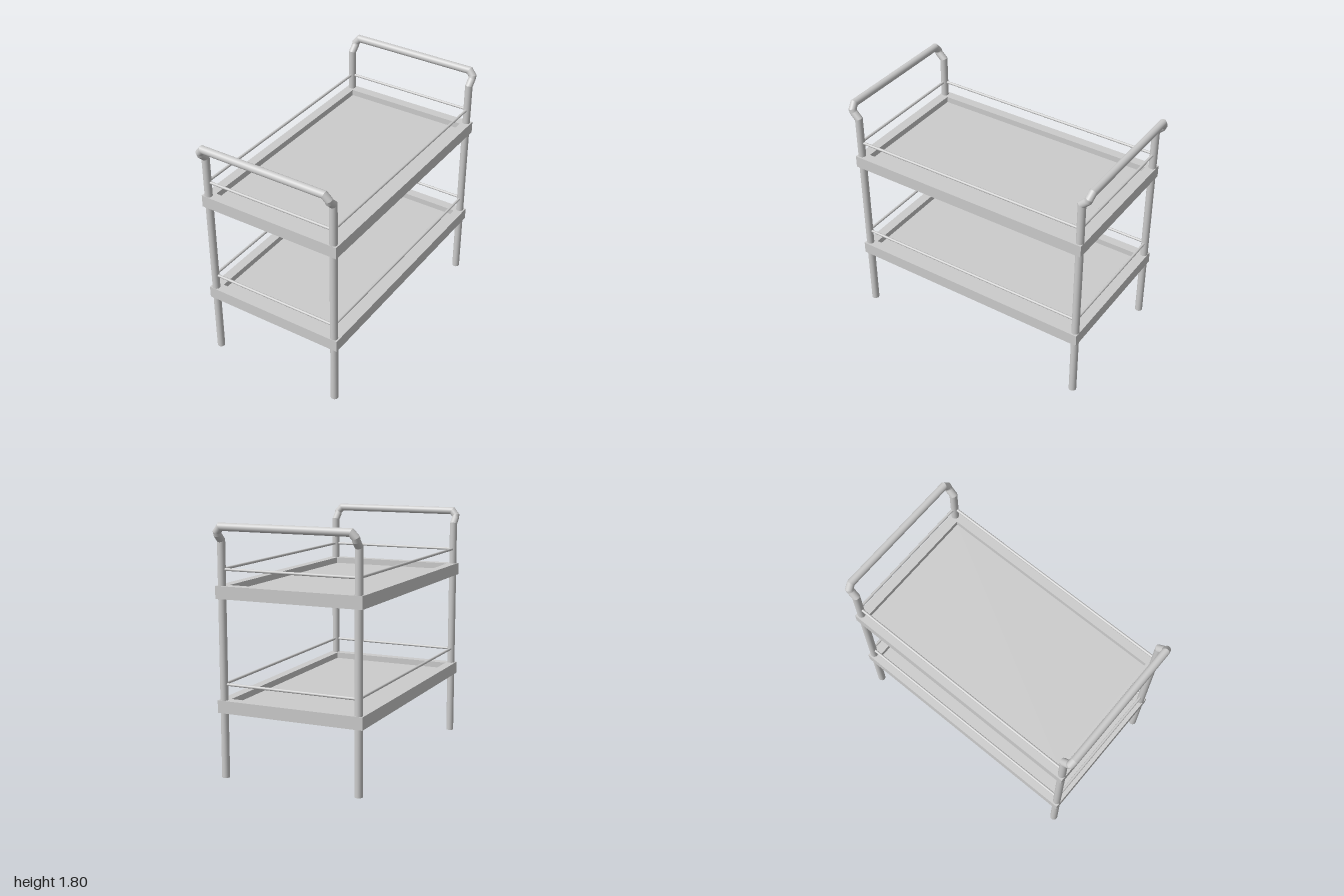
import * as THREE from 'three';

const material = new THREE.MeshStandardMaterial({ color: 0xcccccc });
const LEG_X = 0.512, LEG_Z = 0.914, TUBE_R = 0.028, RAIL_R = 0.01;

function addMesh(parent, name, geometry) {
  const mesh = new THREE.Mesh(geometry, material);
  mesh.name = name;
  parent.add(mesh);
  return mesh;
}

// Round tube along straight segments, with mitred joints and closed ends
function mitredTube(points, radius, sides = 24) {
  const pos = [], nor = [], idx = [];
  const dirs = points.slice(1).map((p, i) => p.clone().sub(points[i]).normalize());
  const u = new THREE.Vector3(1, 0, 0);
  const v = dirs[0].clone().cross(u);
  let ring = [];
  for (let k = 0; k <= sides; k++) {
    const a = (k / sides) * Math.PI * 2;
    ring.push(points[0].clone().addScaledVector(u, radius * Math.cos(a)).addScaledVector(v, radius * Math.sin(a)));
  }
  const pushRing = (verts, normalOf) => {
    const start = pos.length / 3;
    for (const p of verts) {
      pos.push(p.x, p.y, p.z);
      const n = normalOf(p);
      nor.push(n.x, n.y, n.z);
    }
    return start;
  };
  const cap = (verts, normal, flip) => {
    const s = pushRing(verts, () => normal);
    for (let k = 1; k < sides - 1; k++) idx.push(s, s + (flip ? k + 1 : k), s + (flip ? k : k + 1));
  };
  cap(ring, dirs[0].clone().negate(), true);
  dirs.forEach((d, i) => {
    const end = points[i + 1];
    const plane = d.clone().add(dirs[i + 1] ?? d).normalize();
    const next = ring.map((p) => p.clone().addScaledVector(d, end.clone().sub(p).dot(plane) / d.dot(plane)));
    const radial = (p) => {
      const r = p.clone().sub(end);
      return r.addScaledVector(d, -r.dot(d)).normalize();
    };
    const a = pushRing(ring, radial), b = pushRing(next, radial);
    for (let k = 0; k < sides; k++) {
      idx.push(a + k, a + k + 1, b + k, a + k + 1, b + k + 1, b + k);
    }
    ring = next;
  });
  cap(ring, dirs[dirs.length - 1], false);
  const g = new THREE.BufferGeometry();
  g.setAttribute('position', new THREE.Float32BufferAttribute(pos, 3));
  g.setAttribute('normal', new THREE.Float32BufferAttribute(nor, 3));
  g.setIndex(idx);
  return g;
}

function rectangle(path, x, z) {
  path.moveTo(-x, -z);
  path.lineTo(x, -z);
  path.lineTo(x, z);
  path.lineTo(-x, z);
  path.closePath();
  return path;
}

// Two legs joined by a push handle that leans outward
function createEndFrame() {
  const half = [
    [LEG_X, 0, LEG_Z],
    [LEG_X, 1.675, LEG_Z],
    [LEG_X, 1.717, 0.957],
    [LEG_X, 1.737, 0.965],
    [0.482, 1.772, 0.972],
  ];
  const mirrored = half.map(([x, y, z]) => [-x, y, z]).reverse();
  const points = [...half, ...mirrored].map((p) => new THREE.Vector3(...p));
  return mitredTube(points, TUBE_R);
}

// Shelf tray with a raised border, recessed floor and guard rails
function createShelf(bottom) {
  const shelf = new THREE.Group();
  const height = 0.09, floorHeight = 0.045, innerX = 0.48, innerZ = 0.87;

  const border = rectangle(new THREE.Shape(), 0.55, 0.943);
  border.holes.push(rectangle(new THREE.Path(), innerX, innerZ));
  const rim = new THREE.ExtrudeGeometry(border, { depth: height, bevelEnabled: false });
  rim.rotateX(-Math.PI / 2);
  addMesh(shelf, 'trayRim', rim);

  const floor = new THREE.BoxGeometry(innerX * 2, floorHeight, innerZ * 2);
  addMesh(shelf, 'trayFloor', floor).position.y = floorHeight / 2;

  for (const s of [-1, 1]) {
    const side = new THREE.CylinderGeometry(RAIL_R, RAIL_R, LEG_Z * 2, 16).rotateX(Math.PI / 2);
    addMesh(shelf, 'sideRail', side).position.set(s * LEG_X, 0.203, 0);
    const end = new THREE.CylinderGeometry(RAIL_R, RAIL_R, LEG_X * 2, 16).rotateZ(Math.PI / 2);
    addMesh(shelf, 'endRail', end).position.set(0, 0.203, s * LEG_Z);
  }
  shelf.position.y = bottom;
  return shelf;
}

export function createModel() {
  const cart = new THREE.Group();
  cart.name = 'servingCart';

  const frame = createEndFrame();
  addMesh(cart, 'frontLegsAndHandle', frame);
  addMesh(cart, 'backLegsAndHandle', frame).rotation.y = Math.PI;

  for (const [name, y] of [['lowerShelf', 0.47], ['upperShelf', 1.274]]) {
    const shelf = createShelf(y);
    shelf.name = name;
    cart.add(shelf);
  }
  return cart;
}
